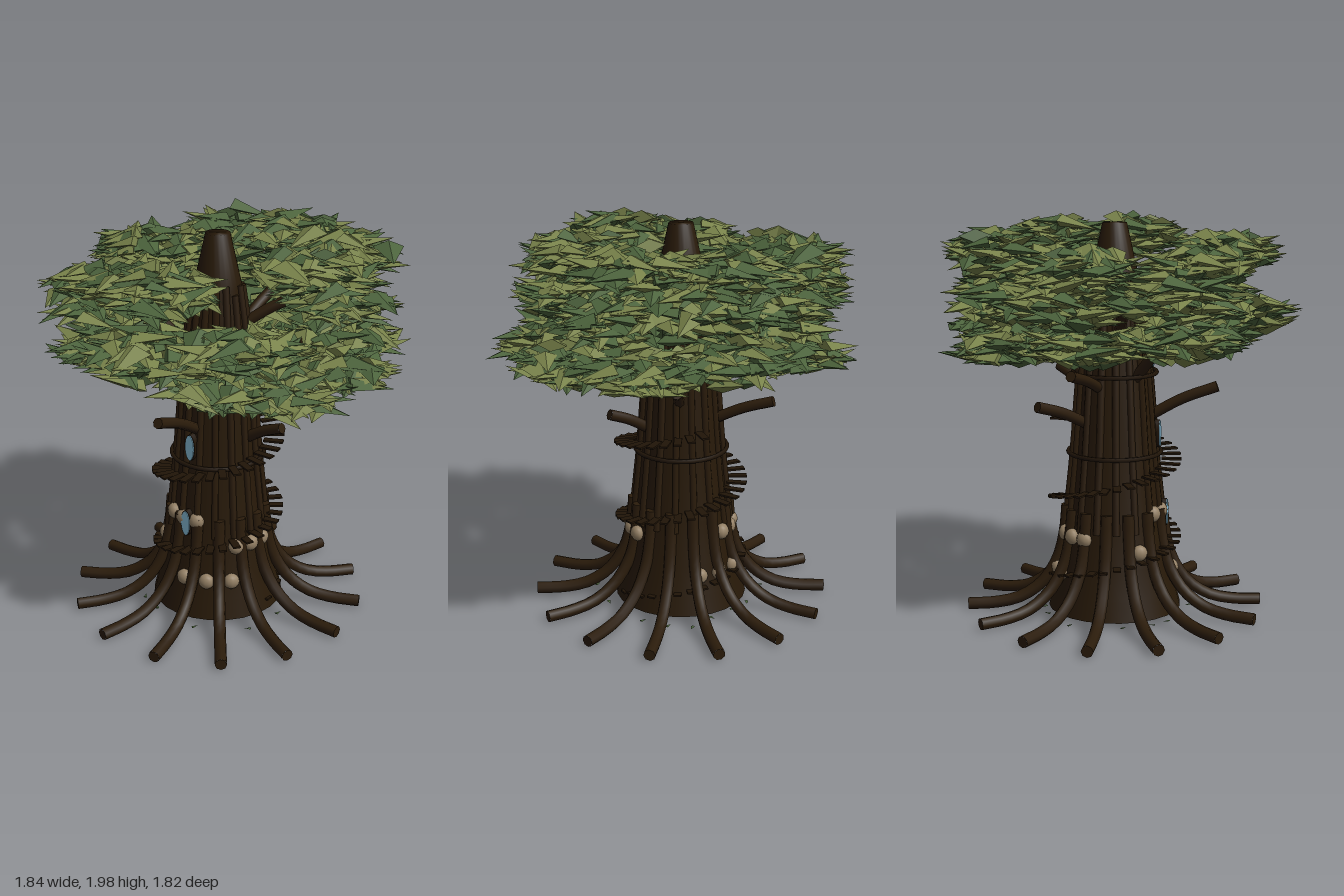
import * as THREE from 'three';
import { mergeGeometries } from 'three/addons/utils/BufferGeometryUtils.js';

const V = (x, y, z) => new THREE.Vector3(x, y, z);
const RAD = Math.PI / 180;

// Small seeded random generator
let seed = 7;
function rnd(a = 0, b = 1) {
  seed = (seed * 1664525 + 1013904223) % 4294967296;
  return a + (b - a) * seed / 4294967296;
}

// Trunk outline as [radius, height]
const profile = [[0.335, 0.03], [0.31, 0.13], [0.275, 0.28], [0.24, 0.5], [0.208, 0.82],
  [0.178, 1.2], [0.145, 1.5], [0.118, 1.7], [0.06, 1.96]];

function trunkRadius(y) {
  for (let i = 1; i < profile.length; i++) {
    const [r0, y0] = profile[i - 1], [r1, y1] = profile[i];
    if (y <= y1) return r0 + (r1 - r0) * (y - y0) / (y1 - y0);
  }
  return 0.06;
}

// Point around the trunk axis: angle in degrees, 0 = +x, 90 = +z
const polar = (deg, r, y) => V(r * Math.cos(deg * RAD), y, r * Math.sin(deg * RAD));

// Closed round limb along a list of points
function limb(points, radius, segments = 10, sides = 8) {
  const curve = new THREE.CatmullRomCurve3(points);
  const parts = [new THREE.TubeGeometry(curve, segments, radius, sides)];
  for (const t of [0, 1]) {
    const cap = new THREE.CircleGeometry(radius, sides);
    const dir = curve.getTangent(t).multiplyScalar(t ? 1 : -1);
    cap.applyQuaternion(new THREE.Quaternion().setFromUnitVectors(V(0, 0, 1), dir));
    const p = curve.getPoint(t);
    parts.push(cap.translate(p.x, p.y, p.z));
  }
  return mergeGeometries(parts);
}

export function createModel() {
  seed = 7;
  const mat = (name, color, options = {}) => {
    const m = new THREE.MeshStandardMaterial({ color, ...options });
    m.name = name;
    return m;
  };
  const bark = mat('bark', 0x2b1c0b);
  const trunkBark = mat('trunk bark', 0x271908, { side: THREE.DoubleSide });
  const plank = mat('dark plank', 0x201407);
  const glass = mat('window blue', 0x8ac2de);
  const fungus = mat('fungus beige', 0x937f64);
  const leafLight = mat('light leaf', 0x78824a, { flatShading: true });
  const leafDark = mat('dark leaf', 0x4c633c, { flatShading: true });

  const model = new THREE.Group();
  const tree = new THREE.Group();
  tree.name = 'tree';
  tree.position.set(-0.045, 0, 0.01);
  model.add(tree);
  const add = (name, geometry, material, parent = tree) => {
    const mesh = new THREE.Mesh(geometry, material);
    mesh.name = name;
    parent.add(mesh);
    return mesh;
  };

  // Trunk with a closed top
  add('trunk', new THREE.LatheGeometry([...profile, [0, 1.96]].map(p => new THREE.Vector2(...p)), 24), trunkBark);

  // Bark ridges following the trunk
  const ridges = [];
  for (let i = 0; i < 16; i++) {
    const top = rnd(1.66, 1.73);
    const pts = [0.45, 0.82, 1.2, 1.5, top].map(y => polar(i * 22.5 + 11, trunkRadius(y) + 0.001, y));
    ridges.push(limb(pts, 0.018, 8, 6));
  }
  add('barkRidges', mergeGeometries(ridges), bark);

  // Bands around the trunk
  for (const [y, r] of [[0.825, 0.233], [1.225, 0.209]]) {
    const band = add('trunkBand', new THREE.TorusGeometry(r, 0.011, 6, 32), plank);
    band.rotation.x = Math.PI / 2;
    band.position.y = y;
  }

  // Spreading roots
  const rootPath = [[0.24, 0.55], [0.252, 0.42], [0.29, 0.27], [0.37, 0.145], [0.48, 0.07], [0.6, 0.042], [0.745, 0.036]];
  for (let i = 0; i < 14; i++) {
    add('root', limb(rootPath.map(([r, y]) => polar(i * 360 / 14, r, y)), 0.03, 16), bark);
  }

  // Spiral stair treads
  const treads = [];
  for (let i = 0; i <= 67; i++) {
    const deg = -i * 12, p = polar(deg, 0.285, 0.08 + i * 0.4 / 30);
    treads.push(new THREE.BoxGeometry(0.1, 0.009, 0.038).rotateY(-deg * RAD).translate(p.x, p.y, p.z));
  }
  add('spiralStair', mergeGeometries(treads), plank);

  // Branches: angle, start height, tip radius, tip height
  const branches = [[0, 0.94, 0.39, 1.05], [86, 1.0, 0.51, 1.16], [222, 0.98, 0.47, 1.1], [196, 1.16, 0.47, 1.27],
    [300, 1.1, 0.37, 1.22], [22, 1.14, 0.48, 1.33], [335, 1.18, 0.42, 1.44], [130, 1.2, 0.42, 1.42],
    [60, 1.24, 0.46, 1.44], [255, 1.22, 0.45, 1.42], [165, 1.32, 0.45, 1.58], [110, 1.4, 0.42, 1.58],
    [280, 1.42, 0.42, 1.62], [325, 1.5, 0.42, 1.66], [210, 1.45, 0.42, 1.64], [40, 1.42, 0.4, 1.56]];
  for (const [deg, y0, r1, y1] of branches) {
    const r0 = trunkRadius(y0) - 0.03;
    add('branch', limb([polar(deg, r0, y0), polar(deg, (r0 + r1) / 2, y0 + (y1 - y0) * 0.6), polar(deg, r1, y1)], 0.027), bark);
  }

  // Oval windows up the front, each a thin pane on a dark backing
  for (const y of [0.52, 0.92, 1.32]) {
    for (const [name, material, grow, depth, offset] of [['windowBacking', plank, 0.004, 0.03, 0.012], ['windowPane', glass, 0, 0.005, 0.029]]) {
      const oval = add(name, new THREE.CylinderGeometry(1, 1, 1, 20), material);
      oval.rotation.x = Math.PI / 2;
      oval.scale.set(0.026 + grow, depth, 0.066 + grow);
      oval.position.set(0, y, trunkRadius(y) + offset);
    }
  }

  // Shelf fungi: height, angles
  const fungi = [[0.535, [118, 98, 79]], [0.405, [-6, 13, 32]], [0.42, [206, 225, 244]],
    [0.23, [88, 64, 39]], [0.36, [143]], [0.23, [234, 256, 278]]];
  for (const [y, angles] of fungi) {
    for (const deg of angles) {
      const cap = add('shelfFungus', new THREE.SphereGeometry(0.041, 10, 8), fungus);
      cap.position.copy(polar(deg, trunkRadius(y) + 0.006, y));
      cap.scale.x = 0.8;
      cap.rotation.y = -deg * RAD;
    }
  }

  // Fallen leaves around the base
  const flecks = [];
  for (let i = 0; i < 20; i++) {
    const p = polar(i * 18 + rnd(-4, 4), rnd(0.36, 0.46), 0.03);
    flecks.push(new THREE.ConeGeometry(0.01, 0.035, 4).rotateX(Math.PI / 2).scale(1, 0.3, 1)
      .rotateY(rnd(0, 6.28)).translate(p.x, p.y, p.z));
  }
  add('fallenLeaves', mergeGeometries(flecks), leafDark);

  // Canopy lobes: angle, height, distance, width, half thickness
  const canopy = new THREE.Group();
  canopy.name = 'canopy';
  model.add(canopy);
  const lobes = [
    // lower tier
    [350, 1.38, 0.56, 0.27, 0.07], [25, 1.37, 0.58, 0.28, 0.07], [58, 1.42, 0.55, 0.27, 0.09],
    [92, 1.52, 0.57, 0.28, 0.1], [135, 1.44, 0.55, 0.26, 0.08], [185, 1.42, 0.52, 0.26, 0.07],
    [226, 1.39, 0.56, 0.28, 0.07], [268, 1.43, 0.55, 0.27, 0.08], [312, 1.4, 0.57, 0.27, 0.08],
    // middle tier
    [48, 1.57, 0.54, 0.26, 0.09], [145, 1.65, 0.6, 0.28, 0.12], [192, 1.62, 0.61, 0.27, 0.11],
    [240, 1.6, 0.56, 0.26, 0.09], [288, 1.7, 0.57, 0.28, 0.12], [322, 1.62, 0.54, 0.26, 0.1],
    // upper tier
    [85, 1.82, 0.56, 0.25, 0.08], [125, 1.77, 0.54, 0.25, 0.08], [190, 1.77, 0.56, 0.26, 0.09],
    [233, 1.81, 0.55, 0.27, 0.09], [270, 1.82, 0.55, 0.26, 0.1], [318, 1.86, 0.54, 0.27, 0.08],
    [0, 1.86, 0.5, 0.25, 0.08]];
  for (const [deg, y, dist, width, thick] of lobes) {
    const c = polar(deg, dist, y), light = [], dark = [];
    for (let i = 0; i < 110; i++) {
      const a = rnd(0, 6.283), r = Math.sqrt(rnd()) * width;
      const h = rnd(-1, 1) * thick * Math.sqrt(1.15 - (r / width) ** 2);
      const size = rnd(0.8, 1.3);
      // Flat pyramid leaf pointing out of the lobe
      const leaf = new THREE.ConeGeometry(0.064, 0.17, 4, 1).scale(size, size, size * 0.42)
        .rotateZ(-Math.PI / 2).rotateX(Math.PI / 2).rotateZ(rnd(-0.3, 0.35)).rotateY(-a + rnd(-1.1, 1.1))
        .translate(c.x + r * Math.cos(a), y + h, c.z + r * Math.sin(a));
      (rnd() < 0.55 ? light : dark).push(leaf);
    }
    add('lightLeaves', mergeGeometries(light), leafLight, canopy);
    add('darkLeaves', mergeGeometries(dark), leafDark, canopy);
  }
  return model;
}
